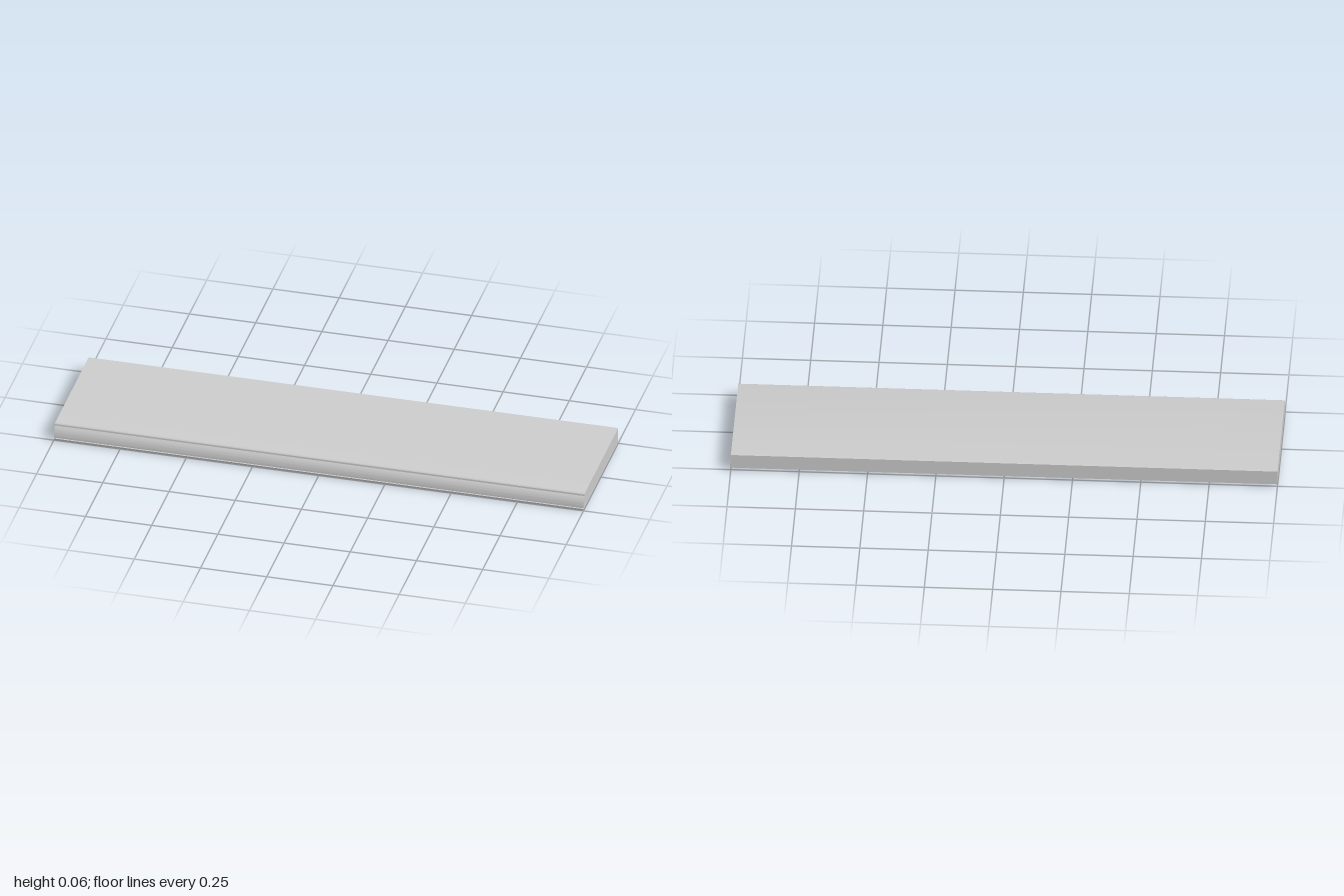
import * as THREE from 'three';
import { toCreasedNormals } from 'three/addons/utils/BufferGeometryUtils.js';

export function createModel() {
  const group = new THREE.Group();
  group.name = 'slab';

  // Cross-section: x is depth (front positive), y is height
  const s = new THREE.Shape();
  s.moveTo(-0.251, 0.01);
  s.lineTo(0.244, 0.01);
  // small drip lip under the front edge
  s.lineTo(0.245, 0.002);
  s.quadraticCurveTo(0.247, 0, 0.249, 0.001);
  s.quadraticCurveTo(0.2515, 0.005, 0.252, 0.009);
  s.lineTo(0.249, 0.011);
  // rounded nose rising to a small step
  s.lineTo(0.249, 0.025);
  s.quadraticCurveTo(0.244, 0.045, 0.234, 0.054);
  s.lineTo(0.234, 0.06);
  s.quadraticCurveTo(0.233, 0.064, 0.228, 0.065);
  s.lineTo(-0.251, 0.065);
  s.closePath();

  const extruded = new THREE.ExtrudeGeometry(s, { depth: 2, bevelEnabled: false, curveSegments: 8 });
  extruded.translate(0, 0, -1);
  extruded.rotateY(-Math.PI / 2);

  const board = new THREE.Mesh(
    toCreasedNormals(extruded, 0.5),
    new THREE.MeshStandardMaterial({ color: 0xcccccc })
  );
  board.name = 'board';
  group.add(board);
  return group;
}
